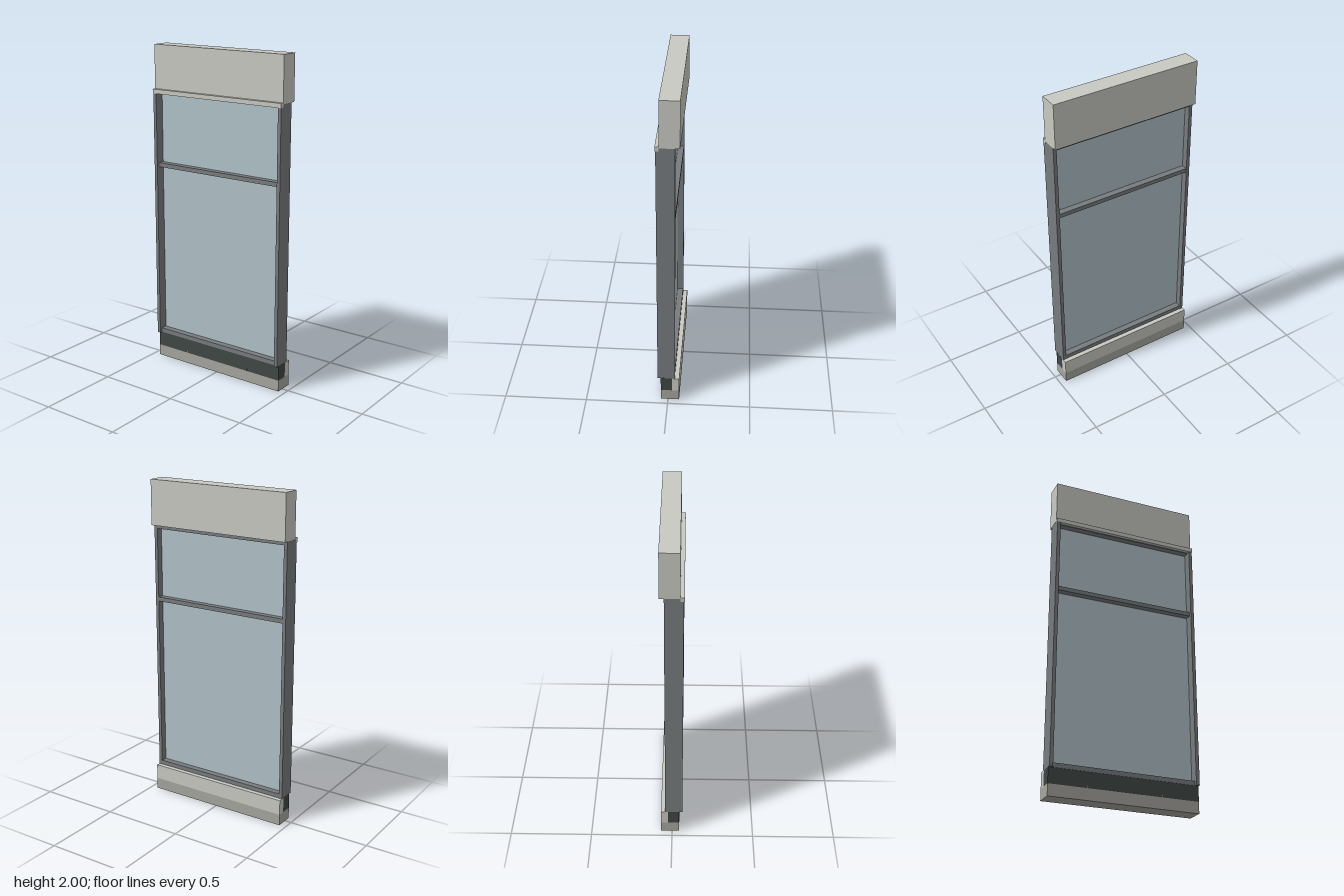
import * as THREE from 'three';

export function createModel() {
  const model = new THREE.Group();
  model.name = 'windowPanel';

  const mat = (name, color) => {
    const m = new THREE.MeshStandardMaterial({ color });
    m.name = name;
    return m;
  };
  const concrete = mat('lightConcrete', 0xc9c9c3);
  const stone = mat('sillStone', 0xa6a59f);
  const metal = mat('greyMetal', 0x787c7e);
  const dark = mat('darkCladding', 0x404745);
  const glass = mat('paleGlass', 0xb1c2c9);

  // Box given by its minimum and maximum on each axis
  const box = (name, material, [x0, x1], [y0, y1], [z0, z1]) => {
    const mesh = new THREE.Mesh(new THREE.BoxGeometry(x1 - x0, y1 - y0, z1 - z0), material);
    mesh.position.set((x0 + x1) / 2, (y0 + y1) / 2, (z0 + z1) / 2);
    mesh.name = name;
    model.add(mesh);
  };

  const full = [-0.459, 0.459];
  const inner = [-0.437, 0.437];

  // Header with a projecting drip strip
  box('header', concrete, full, [1.727, 2], [-0.068, 0.044]);
  box('headerDripStrip', concrete, full, [1.708, 1.735], [0.044, 0.067]);

  // Base: stone course, dark front cladding and concrete upstand behind it
  box('baseCourse', stone, full, [0, 0.07], [-0.068, 0.044]);
  box('baseCladding', dark, full, [0.07, 0.163], [-0.025, 0.044]);
  box('baseUpstand', concrete, full, [0.07, 0.163], [-0.068, -0.025]);

  // Side jambs and small drainage slots
  for (const s of [-1, 1]) {
    const span = (a, b) => (s > 0 ? [a, b] : [-b, -a]);
    box(s > 0 ? 'leftJamb' : 'rightJamb', metal, span(0.437, 0.458), [0.163, 1.727], [-0.042, 0.063]);
    box('drainSlot', stone, span(0.227, 0.23), [0.07, 0.085], [0.044, 0.0455]);
  }

  // Horizontal rails, set slightly back from the jamb faces
  box('bottomRail', metal, inner, [0.163, 0.19], [-0.04, 0.046]);
  box('transom', metal, inner, [1.255, 1.281], [-0.04, 0.046]);
  box('topRail', metal, inner, [1.704, 1.727], [-0.04, 0.046]);

  // Glazing
  box('lowerPane', glass, inner, [0.19, 1.255], [-0.002, 0.006]);
  box('upperPane', glass, inner, [1.281, 1.704], [-0.002, 0.006]);

  return model;
}
